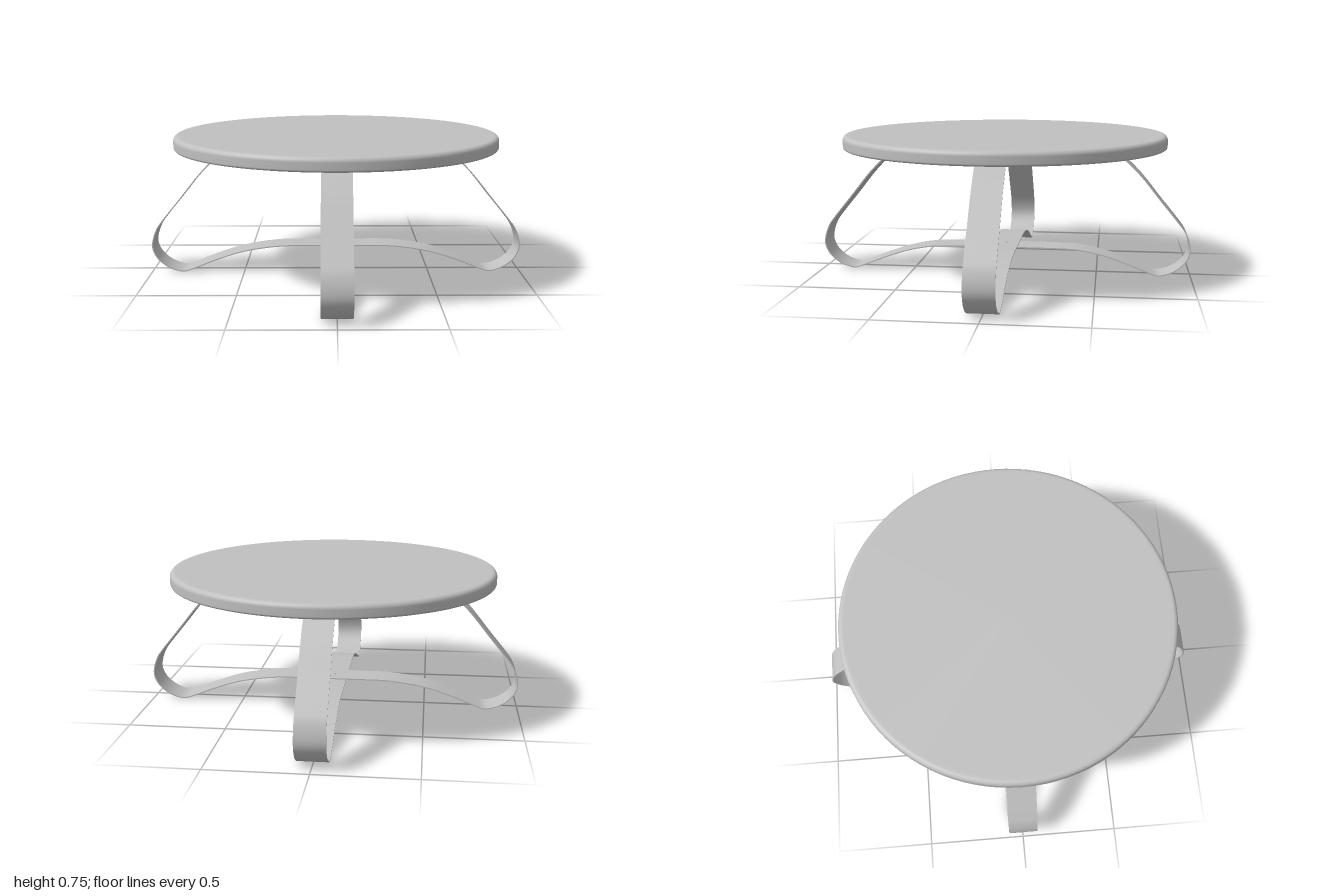
import * as THREE from 'three';
import { toCreasedNormals } from 'three/addons/utils/BufferGeometryUtils.js';

const STRAP_WIDTH = 0.15;
const STRAP_THICKNESS = 0.006;

// Bent strap: one continuous loop from one mounting end, under the crest, to the other
function strapGeometry(crest) {
  const half = [
    [0.12, crest], [0.28, crest - 0.001], [0.4, 0.134], [0.525, 0.11], [0.66, 0.066],
    [0.78, 0.019], [0.825, 0.005], [0.87, 0.012], [0.925, 0.038], [0.97, 0.08], [0.993, 0.13],
    [0.99, 0.18], [0.965, 0.245], [0.94, 0.28], [0.83, 0.415], [0.74, 0.527], [0.68, 0.59],
    [0.59, 0.67], [0.575, 0.679], [0.56, 0.68], [0.45, 0.68], [0.295, 0.68],
  ];
  const path = [
    ...half.slice().reverse().map(([x, y]) => new THREE.Vector3(-x, y, 0)),
    ...half.map(([x, y]) => new THREE.Vector3(x, y, 0)),
  ];
  const curve = new THREE.CatmullRomCurve3(path, false, 'centripetal');
  const outer = [], inner = [];
  const steps = 240;
  for (let i = 0; i <= steps; i++) {
    const p = curve.getPointAt(i / steps);
    const t = curve.getTangentAt(i / steps);
    const dx = -t.y * STRAP_THICKNESS / 2, dy = t.x * STRAP_THICKNESS / 2;
    outer.push(new THREE.Vector2(p.x - dx, p.y - dy));
    inner.push(new THREE.Vector2(p.x + dx, p.y + dy));
  }
  const shape = new THREE.Shape([...outer, ...inner.reverse()]);
  const geometry = new THREE.ExtrudeGeometry(shape, { depth: STRAP_WIDTH, bevelEnabled: false });
  geometry.translate(0, 0, -STRAP_WIDTH / 2);
  return toCreasedNormals(geometry, 0.6);
}

export function createModel() {
  const grey = new THREE.MeshStandardMaterial({ color: 0xc0c0c0 });
  grey.name = 'plain grey';
  const table = new THREE.Group();
  table.name = 'roundTable';

  const add = (name, geometry, x, y, z, parent = table) => {
    const mesh = new THREE.Mesh(geometry, grey);
    mesh.name = name;
    mesh.position.set(x, y, z);
    parent.add(mesh);
    return mesh;
  };

  // Round top with softened rim
  const profile = [[0, 0.684], [0.83, 0.684], [0.845, 0.684]];
  const corner = (cx, cy, r, from) => {
    for (let i = 0; i <= 6; i++) {
      const a = from + (i / 6) * Math.PI / 2;
      profile.push([cx + r * Math.cos(a), cy + r * Math.sin(a)]);
    }
  };
  corner(0.85, 0.696, 0.012, -Math.PI / 2);
  corner(0.837, 0.73, 0.025, 0);
  profile.push([0.825, 0.755], [0, 0.755]);
  const top = new THREE.LatheGeometry(profile.map(([x, y]) => new THREE.Vector2(x, y)), 96);
  add('tableTop', top, 0, 0, 0);

  // Two crossing straps, each with a pair of screws at both mounting ends
  const screw = new THREE.CylinderGeometry(0.013, 0.01, 0.01, 16);
  [['sideStrap', 0.147, 0], ['frontBackStrap', 0.14, Math.PI / 2]].forEach(([name, crest, turn]) => {
    const assembly = new THREE.Group();
    assembly.name = name + 'Assembly';
    assembly.rotation.y = turn;
    table.add(assembly);
    add(name, strapGeometry(crest), 0, 0, 0, assembly);
    for (const x of [-0.463, -0.378, 0.378, 0.463]) add('screw', screw, x, 0.673, 0, assembly);
  });

  // Bolt and square nut clamping the straps at the crossing
  add('boltHead', new THREE.CylinderGeometry(0.011, 0.013, 0.004, 16), 0, 0.152, 0);
  add('squareNut', new THREE.BoxGeometry(0.05, 0.006, 0.05), 0, 0.134, 0);
  add('boltEnd', new THREE.CylinderGeometry(0.013, 0.013, 0.006, 16), 0, 0.129, 0);
  return table;
}
